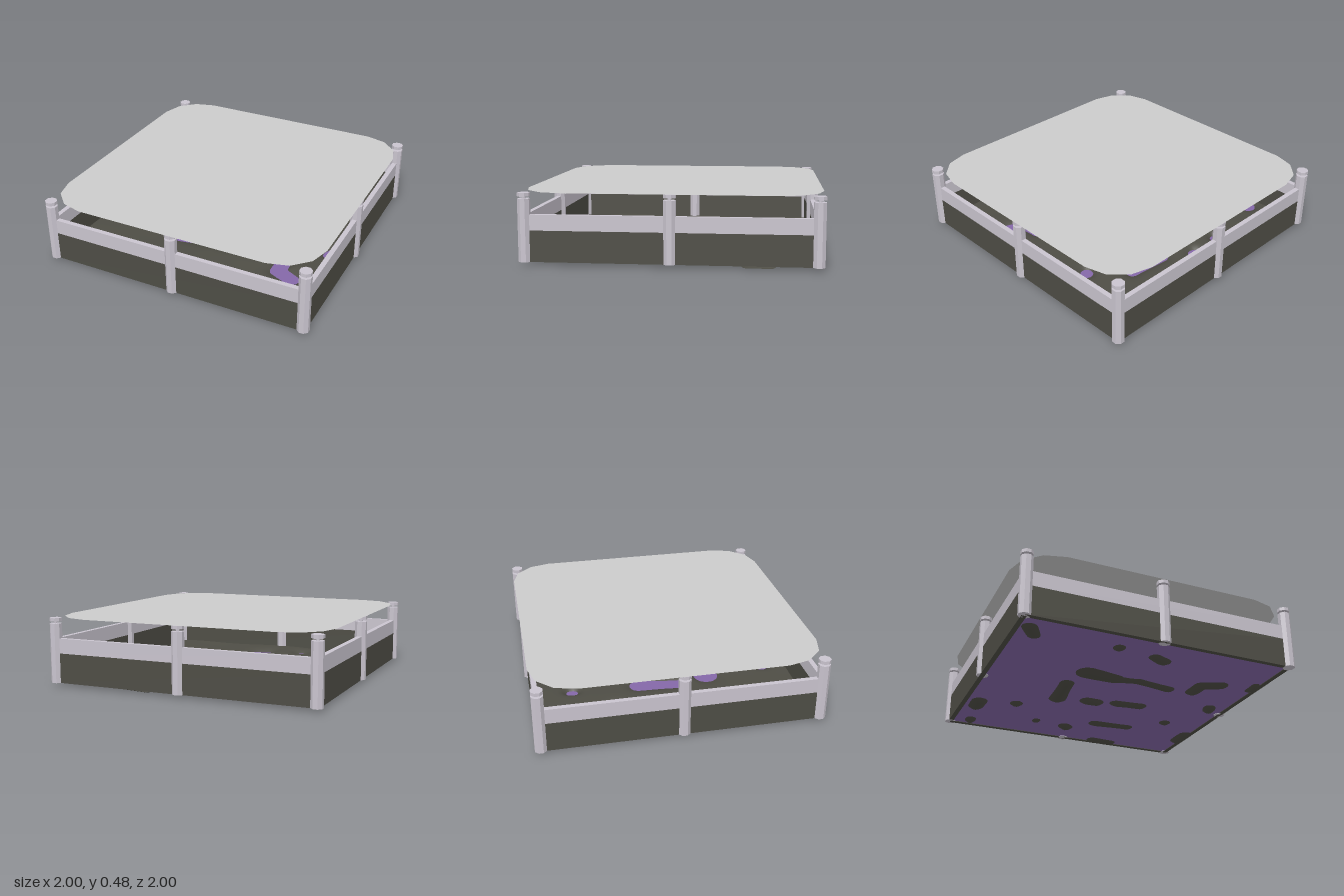
import * as THREE from 'three';

const stone = new THREE.MeshStandardMaterial({ color: 0xc9c4ce, flatShading: true });
const earth = new THREE.MeshStandardMaterial({ color: 0x4e4d45, side: THREE.DoubleSide });
const liquid = new THREE.MeshStandardMaterial({ color: 0x8468a8, side: THREE.DoubleSide });
const sheet = new THREE.MeshStandardMaterial({ color: 0xcccccc, side: THREE.DoubleSide });

const EDGE = 0.96, BASE = 0.02;

// Hollows in the ground, each a line from (x1, z1) to (x2, z2) with a radius
const hollows = [
  [0.4, -0.53, 0.13, -0.55, 0.07], [0.64, -0.32, 0.64, -0.32, 0.06],
  [0.93, -0.65, 0.93, -0.5, 0.06], [0.42, -0.92, 0.26, -0.92, 0.06],
  [-0.06, -0.72, -0.08, -0.7, 0.06], [-0.33, -0.69, -0.33, -0.67, 0.05],
  [0.31, -0.08, 0.12, -0.1, 0.06], [-0.03, -0.14, -0.1, -0.14, 0.06],
  [-0.36, 0.1, -0.33, -0.19, 0.07], [0.36, 0.29, 0.1, 0.33, 0.07],
  [0.1, 0.33, -0.06, 0.3, 0.06], [-0.06, 0.3, -0.28, 0.32, 0.09],
  [0.69, 0.5, 0.56, 0.44, 0.07], [0.56, 0.44, 0.55, 0.32, 0.07],
  [0.84, 0.05, 0.82, 0.1, 0.05], [0.92, 0.5, 0.92, 0.6, 0.05],
  [0.12, 0.7, 0.04, 0.74, 0.07], [-0.24, 0.77, -0.24, 0.78, 0.06],
  [-0.58, -0.41, -0.58, -0.4, 0.06], [-0.85, -0.58, -0.85, -0.46, 0.06],
  [-0.88, 0.82, -0.82, 0.72, 0.07], [-0.82, -0.88, -0.82, -0.84, 0.05],
];

function groundHeight(x, z) {
  let dip = 0;
  for (const [x1, z1, x2, z2, r] of hollows) {
    const dx = x2 - x1, dz = z2 - z1;
    const t = THREE.MathUtils.clamp(((x - x1) * dx + (z - z1) * dz) / (dx * dx + dz * dz || 1), 0, 1);
    const d2 = (x - x1 - t * dx) ** 2 + (z - z1 - t * dz) ** 2;
    dip = Math.max(dip, 0.05 * Math.exp(-d2 / (r * r)));
  }
  const waves = 0.005 * (Math.sin(7 * x + 2 * z) + Math.sin(9 * z - 3 * x));
  return Math.max(0, 0.05 + waves - dip);
}

function add(parent, name, geometry, material, x = 0, y = 0, z = 0) {
  const mesh = new THREE.Mesh(geometry, material);
  mesh.name = name;
  mesh.position.set(x, y, z);
  parent.add(mesh);
  return mesh;
}

// Eight-sided drum standing on y = 0 with flats facing the axes
function drum(radius, height) {
  return new THREE.CylinderGeometry(radius, radius, height, 8)
    .rotateY(Math.PI / 8).translate(0, height / 2, 0);
}

function createPost(x, z) {
  const post = new THREE.Group();
  post.name = 'post';
  post.position.set(x, BASE, z);
  add(post, 'postShaft', drum(0.043, 0.42), stone);
  add(post, 'postNeck', drum(0.012, 0.015), stone, 0, 0.42);
  add(post, 'postCap', drum(0.043, 0.024), stone, 0, 0.435);
  return post;
}

// Rounded square with three facets per corner
function createCanopy() {
  const r = 0.3, points = [];
  for (let corner = 0; corner < 4; corner++) {
    const mid = Math.PI / 4 + corner * Math.PI / 2;
    const cx = Math.sign(Math.cos(mid)) * (1 - r), cy = Math.sign(Math.sin(mid)) * (1 - r);
    for (let i = 0; i <= 3; i++) {
      const a = corner * Math.PI / 2 + i * Math.PI / 6;
      points.push(new THREE.Vector2(cx + r * Math.cos(a), cy + r * Math.sin(a)));
    }
  }
  return new THREE.ShapeGeometry(new THREE.Shape(points)).rotateX(-Math.PI / 2);
}

export function createModel() {
  const model = new THREE.Group();
  model.name = 'walledArena';

  // Four walls: dark lower course and pale rim
  for (let i = 0; i < 4; i++) {
    const side = new THREE.Group();
    side.name = 'wall';
    side.rotation.y = i * Math.PI / 2;
    add(side, 'wallBase', new THREE.BoxGeometry(1.92, 0.21, 0.035), earth, 0, 0.125, EDGE);
    add(side, 'wallRim', new THREE.BoxGeometry(1.92, 0.105, 0.035), stone, 0, 0.2825, EDGE);
    model.add(side);
  }

  // Posts at corners and mid sides
  for (const x of [-EDGE, 0, EDGE])
    for (const z of [-EDGE, 0, EDGE])
      if (x || z) model.add(createPost(x, z));

  // Uneven ground dipping below the pool surface
  const ground = new THREE.PlaneGeometry(1.885, 1.885, 96, 96).rotateX(-Math.PI / 2);
  const p = ground.attributes.position;
  for (let i = 0; i < p.count; i++) p.setY(i, groundHeight(p.getX(i), p.getZ(i)));
  ground.computeVertexNormals();
  add(model, 'ground', ground, earth);
  add(model, 'poolSurface', new THREE.PlaneGeometry(1.885, 1.885).rotateX(-Math.PI / 2), liquid, 0, 0.024, 0);

  // Flat cover resting on the caps
  add(model, 'canopy', createCanopy(), sheet, 0, 0.481, 0);
  return model;
}
